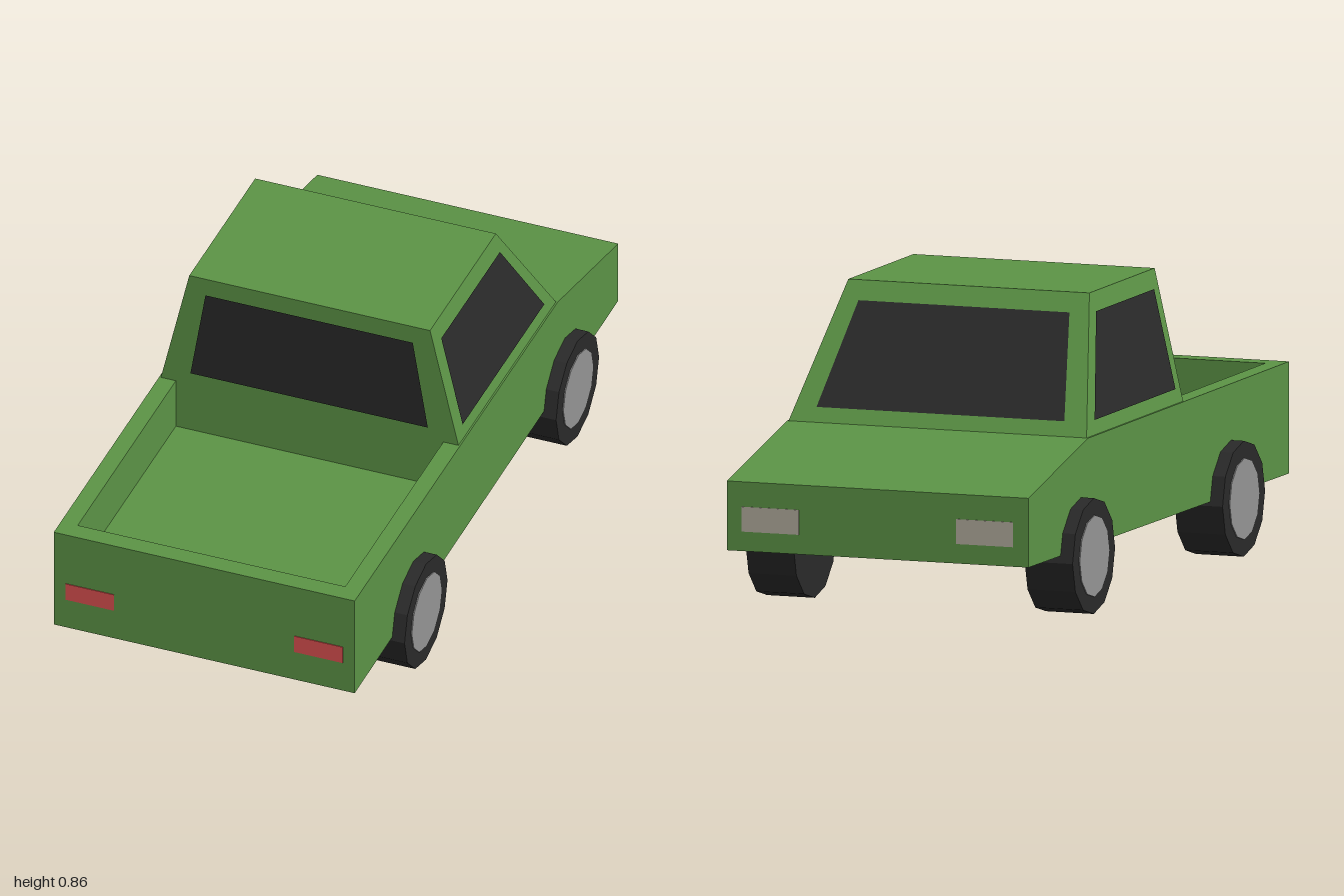
import * as THREE from 'three';

const mat = (color) => new THREE.MeshStandardMaterial({ color, flatShading: true });
const paint = mat(0x5c9446), glass = mat(0x2a2a2a), rubber = mat(0x2a2a2a);
const steel = mat(0x959595), red = mat(0xdd5050), lamp = mat(0xb4ad9f);

// Heights and half widths shared by several parts
const SILL = 0.485, ROOF = 0.855, FLOOR = 0.33, W = 0.45, INNER = 0.40;
const TAIL = 0.945, CAB_BACK = 0.2, COWL = -0.54;

// Convex polygon copied to the other side of the model
const mirrored = (pts) => [pts, pts.map(([x, y, z]) => [-x, y, z]).reverse()];

// Symmetric quad running from edge 1 to edge 2 (up the back, forward over the top, down the front)
const span = (y1, z1, x1, y2, z2, x2) =>
  [[-x1, y1, z1], [x1, y1, z1], [x2, y2, z2], [-x2, y2, z2]];

// Mesh made of flat convex polygons
function panels(name, material, polygons) {
  const pos = [];
  for (const p of polygons)
    for (let i = 1; i < p.length - 1; i++) pos.push(...p[0], ...p[i], ...p[i + 1]);
  const geo = new THREE.BufferGeometry();
  geo.setAttribute('position', new THREE.Float32BufferAttribute(pos, 3));
  geo.computeVertexNormals();
  const mesh = new THREE.Mesh(geo, material);
  mesh.name = name;
  return mesh;
}

// Cab walls lean inward; the windscreen leans back
const lean = (y) => (y - SILL) / (ROOF - SILL);
const cabX = (y) => 0.445 - 0.085 * lean(y);
const screenZ = (y) => COWL + 0.24 * lean(y);

function wheel(side, z) {
  const group = new THREE.Group();
  group.name = 'wheel';
  const add = (name, radius, width, x, material) => {
    const mesh = new THREE.Mesh(new THREE.CylinderGeometry(radius, radius, width, 12), material);
    mesh.rotation.z = Math.PI / 2;
    mesh.position.x = x * side;
    mesh.name = name;
    group.add(mesh);
  };
  add('tire', 0.163, 0.143, 0.4165, rubber);
  add('hub', 0.115, 0.02, 0.481, steel);
  group.position.set(0, 0.163, z);
  return group;
}

export function createModel() {
  const model = new THREE.Group();
  model.name = 'pickupTruck';

  // Lower body with hood and flat underside
  model.add(panels('body', paint, [
    ...mirrored([[W, 0.17, 1], [W, 0.185, -1], [W, 0.38, -1], [W, SILL, COWL], [W, SILL, 1]]),
    span(0.17, 1, W, SILL, 1, W),
    span(SILL, CAB_BACK, W, SILL, COWL, W),
    span(SILL, COWL, W, 0.38, -1, W),
    span(0.38, -1, W, 0.185, -1, W),
    span(0.185, -1, W, 0.17, 1, W),
  ]));

  // Open cargo bed: rim, inner walls and floor
  model.add(panels('cargoBed', paint, [
    span(SILL, 1, W, SILL, TAIL, W),
    ...mirrored([[INNER, SILL, TAIL], [W, SILL, TAIL], [W, SILL, CAB_BACK], [INNER, SILL, CAB_BACK]]),
    ...mirrored([[INNER, SILL, TAIL], [INNER, SILL, CAB_BACK], [INNER, FLOOR, CAB_BACK], [INNER, FLOOR, TAIL]]),
    span(SILL, TAIL, INNER, FLOOR, TAIL, INNER),
    span(FLOOR, TAIL, INNER, FLOOR, CAB_BACK, INNER),
    span(FLOOR, CAB_BACK, INNER, SILL, CAB_BACK, INNER),
  ]));

  // Cab
  const low = cabX(SILL), top = cabX(ROOF), roofFront = screenZ(ROOF);
  model.add(panels('cab', paint, [
    span(SILL, CAB_BACK, low, ROOF, CAB_BACK, top),
    span(ROOF, CAB_BACK, top, ROOF, roofFront, top),
    span(ROOF, roofFront, top, SILL, COWL, low),
    ...mirrored([[low, SILL, CAB_BACK], [low, SILL, COWL], [top, ROOF, roofFront], [top, ROOF, CAB_BACK]]),
  ]));

  // Windows, set just proud of the cab
  const y0 = 0.525, y1 = 0.803, gap = 0.004;
  const x0 = cabX(y0) + gap, x1 = cabX(y1) + gap;
  model.add(panels('rearWindow', glass, [span(y0, CAB_BACK + gap, 0.355, y1, CAB_BACK + gap, 0.31)]));
  model.add(panels('windscreen', glass, [span(y1, screenZ(y1) - gap, 0.315, y0, screenZ(y0) - gap, 0.37)]));
  model.add(panels('sideWindows', glass,
    mirrored([[x0, y0, 0.155], [x0, y0, -0.465], [x1, y1, -0.29], [x1, y1, 0.155]])));

  // Lights
  const light = (name, material, w, h, x, y, z) => {
    const mesh = new THREE.Mesh(new THREE.BoxGeometry(w, h, 0.006), material);
    mesh.position.set(x, y, z);
    mesh.name = name;
    model.add(mesh);
  };
  for (const side of [1, -1]) {
    light('tailLight', red, 0.145, 0.054, side * 0.342, 0.292, 0.999);
    light('headlight', lamp, 0.17, 0.07, side * 0.32, 0.275, -0.999);
    for (const z of [0.555, -0.595]) model.add(wheel(side, z));
  }
  return model;
}
